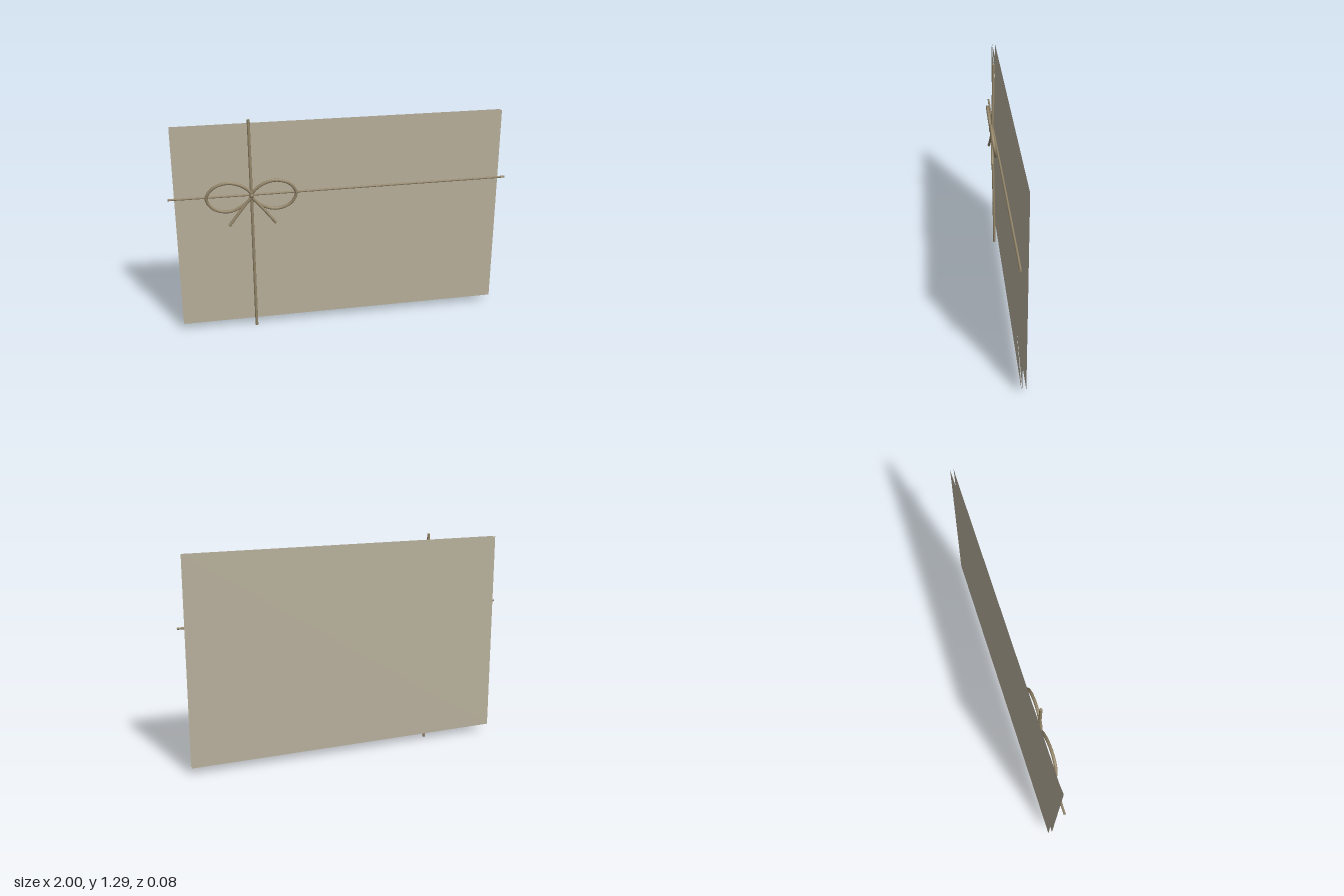
import * as THREE from 'three';

const paper = new THREE.MeshStandardMaterial({ color: 0xb8b09c, side: THREE.DoubleSide });
paper.name = 'paper';
const twine = new THREE.MeshStandardMaterial({ color: 0x94866a });
twine.name = 'twine';

// Flat sheet with the given outline at depth z
function sheet(name, points, z) {
  const shape = new THREE.Shape(points.map(([x, y]) => new THREE.Vector2(x, y)));
  const mesh = new THREE.Mesh(new THREE.ShapeGeometry(shape), paper);
  mesh.name = name;
  mesh.position.z = z;
  return mesh;
}

const rect = (w, y0, y1) => [[-w, y0], [w, y0], [w, y1], [-w, y1]];

// Round cord along a smooth path, capped at the ends when open
function cord(name, points, radius, closed = false) {
  const group = new THREE.Group();
  group.name = name;
  const curve = new THREE.CatmullRomCurve3(points.map(p => new THREE.Vector3(...p)), closed);
  group.add(new THREE.Mesh(new THREE.TubeGeometry(curve, 64, radius, 10, closed), twine));
  if (!closed) {
    for (const t of [0, 1]) {
      const cap = new THREE.Mesh(new THREE.CircleGeometry(radius, 10), twine);
      const end = curve.getPoint(t);
      const out = curve.getTangent(t).multiplyScalar(t ? 1 : -1);
      cap.position.copy(end);
      cap.lookAt(end.clone().add(out));
      group.add(cap);
    }
  }
  return group;
}

export function createModel() {
  const model = new THREE.Group();
  model.name = 'tiedEnvelope';
  const W = 0.965, B = 0.04, T = 1.255, M = 0.645;

  // Envelope: back, card inside and four folded flaps
  model.add(sheet('backPanel', rect(W, B, T), -0.03));
  model.add(sheet('card', rect(0.85, 0.13, 1.16), -0.02));
  model.add(sheet('topFlap', [[-W, T], [0, M], [W, T]], -0.011));
  for (const [name, s] of [['leftFlap', 1], ['rightFlap', -1]]) {
    model.add(sheet(name, [[s * W, B], [s * W, T], [-s * 0.19, M]], s > 0 ? -0.009 : -0.007));
  }
  model.add(sheet('bottomFlap', [[-W, B], [W, B], [0, 0.77]], -0.004));

  // Wrapped strings
  const kx = -0.53, ky = 0.845;
  model.add(cord('verticalString', [[kx, 0, 0.016], [kx, 0.4, 0.02], [kx, ky, 0.026], [kx, 1.05, 0.02], [kx, 1.287, 0.016]], 0.0085));
  model.add(cord('horizontalString', [[-1, ky, 0.013], [kx, ky, 0.019], [0, ky, 0.016], [1, ky, 0.013]], 0.0065));

  // Bow: a loop and a loose tail on each side of the knot
  const loop = [[0, 0], [0.05, 0.06], [0.135, 0.087], [0.22, 0.06], [0.257, -0.003], [0.22, -0.068], [0.135, -0.093], [0.05, -0.06]];
  const tail = [[0, -0.01, 0.03], [0.055, -0.075, 0.03], [0.135, -0.175, 0.038]];
  for (const [side, s] of [['left', 1], ['right', -1]]) {
    model.add(cord(side + 'BowLoop', loop.map(([x, y]) => [kx + s * x, ky + y, 0.033 + y * 0.13]), 0.009, true));
    model.add(cord(side + 'BowTail', tail.map(([x, y, z]) => [kx + s * x, ky + y, z]), 0.0085));
  }
  const knot = new THREE.Mesh(new THREE.SphereGeometry(0.015, 12, 8), twine);
  knot.name = 'knot';
  knot.position.set(kx, ky, 0.032);
  model.add(knot);
  return model;
}
